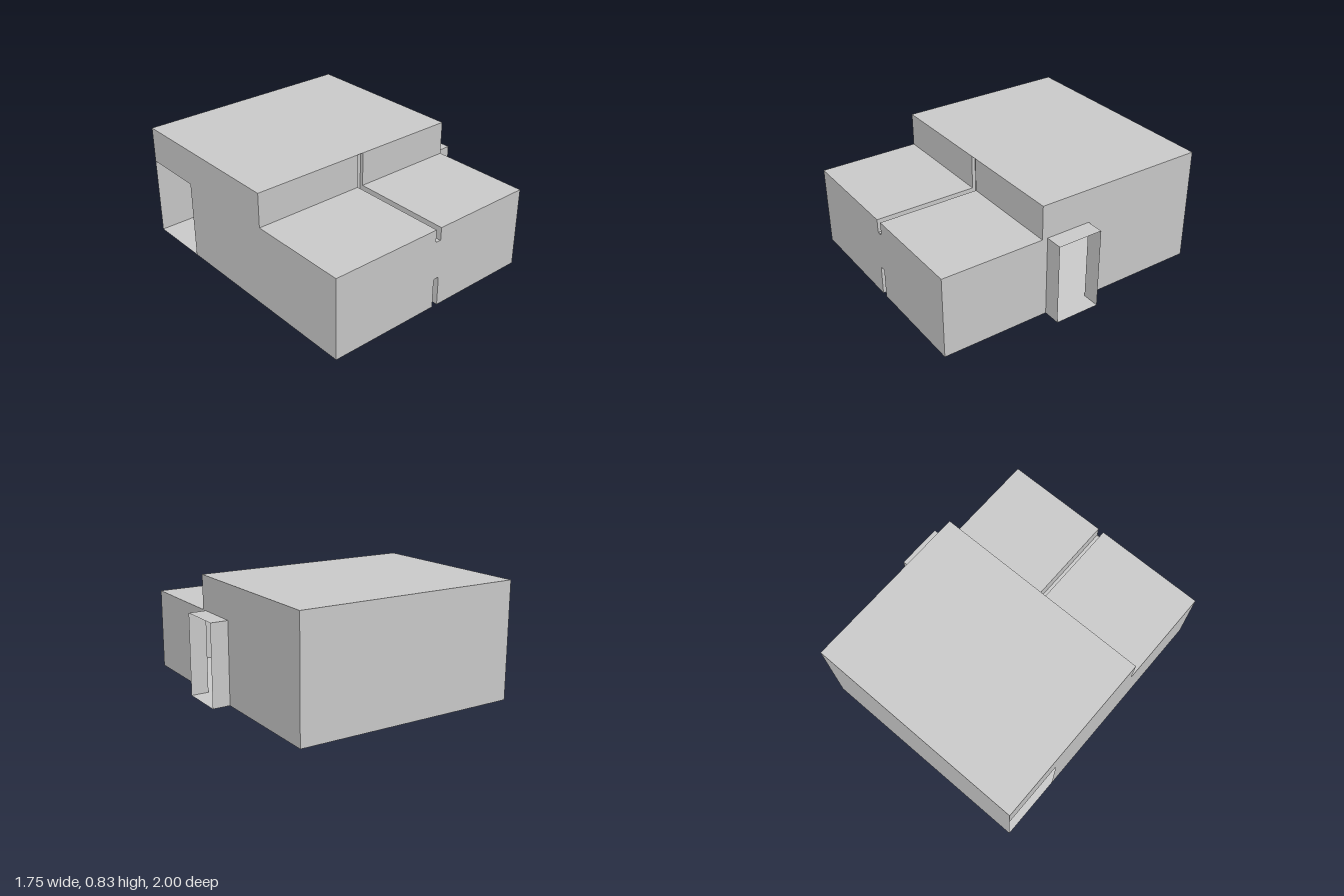
import * as THREE from 'three';

const L = -0.875, R = 0.75, TOP = 0.83, STEP = 0.585, STEP_Z = 0.265;
const S0 = -0.055, S1 = -0.012, SLIT_Z = 0.24; // slit sides and its inner end
const BOX_X = 0.877, B0 = -0.105, B1 = 0.225;  // open side box

export function createModel() {
  const group = new THREE.Group();
  const mat = new THREE.MeshStandardMaterial({
    color: 0xcccccc, flatShading: true, side: THREE.DoubleSide,
  });

  // Thin flat panel across one axis: x uses (z, y), y uses (x, z), z uses (x, y)
  function panel(name, axis, at, points) {
    const shape = new THREE.Shape(points.map(([a, b]) => new THREE.Vector2(a, b)));
    const geo = new THREE.ShapeGeometry(shape);
    const p = geo.attributes.position;
    for (let i = 0; i < p.count; i++) {
      const a = p.getX(i), b = p.getY(i);
      if (axis === 'x') p.setXYZ(i, at, b, a);
      else if (axis === 'y') p.setXYZ(i, a, at, b);
      else p.setXYZ(i, a, b, at);
    }
    geo.computeVertexNormals();
    const mesh = new THREE.Mesh(geo, mat);
    mesh.name = name;
    group.add(mesh);
  }
  const rect = (a0, b0, a1, b1) => [[a0, b0], [a1, b0], [a1, b1], [a0, b1]];

  // Stepped side walls: one opens into the side box, one has a rear doorway
  const steps = [[1, 0], [1, STEP], [STEP_Z, STEP], [STEP_Z, TOP], [-1, TOP]];
  panel('leftWall', 'x', R, [...steps, [-1, 0], [B0, 0], [B0, STEP], [B1, STEP], [B1, 0]]);
  panel('rightWall', 'x', L, [...steps, [-1, 0.57], [-0.535, 0.57], [-0.535, 0]]);

  // Rear wall and main roof
  panel('backWall', 'z', -1, rect(L, 0, R, TOP));
  panel('mainRoof', 'y', TOP, rect(L, -1, R, STEP_Z));

  // Front wall with an upper and a lower slot, corners softened
  const c = 0.008;
  panel('frontWall', 'z', 1, [
    [L, 0], [S0, 0], [S0, 0.215 - c], [S0 + c, 0.215], [S1 - c, 0.215], [S1, 0.215 - c], [S1, 0],
    [R, 0], [R, STEP],
    [S1, STEP], [S1, 0.49 + c], [S1 - c, 0.49], [S0 + c, 0.49], [S0, 0.49 + c], [S0, STEP],
    [L, STEP],
  ]);

  // Lower roof and riser, split by the slit
  for (const [a, b] of [[L, S0], [S1, R]]) {
    panel('lowerRoof', 'y', STEP, rect(a, STEP_Z, b, 1));
    panel('riser', 'z', STEP_Z, rect(a, STEP, b, TOP));
  }

  // Floor with the slit cut in and a tab under the side box
  panel('floor', 'y', 0, [
    [L, -1], [R, -1], [R, B0], [BOX_X, B0], [BOX_X, B1], [R, B1], [R, 1],
    [S1, 1], [S1, SLIT_Z], [S0, SLIT_Z], [S0, 1], [L, 1],
  ]);

  // Slit lining and the bar that bridges it
  for (const x of [S0, S1]) {
    panel('slitSide', 'x', x, [
      [SLIT_Z, 0], [1, 0], [1, STEP], [STEP_Z, STEP], [STEP_Z, TOP], [SLIT_Z, TOP],
    ]);
  }
  panel('slitEnd', 'z', SLIT_Z, rect(S0, 0, S1, TOP));
  const bar = new THREE.Mesh(new THREE.BoxGeometry(S1 - S0, 0.275, 0.705), mat);
  bar.position.set((S0 + S1) / 2, 0.3525, 0.6425);
  bar.name = 'slitBar';
  group.add(bar);

  // Side box, open outward and into the room
  for (const z of [B0, B1]) panel('sideBoxWall', 'z', z, rect(R, 0, BOX_X, STEP));
  panel('sideBoxRoof', 'y', STEP, rect(R, B0, BOX_X, B1));

  return group;
}
